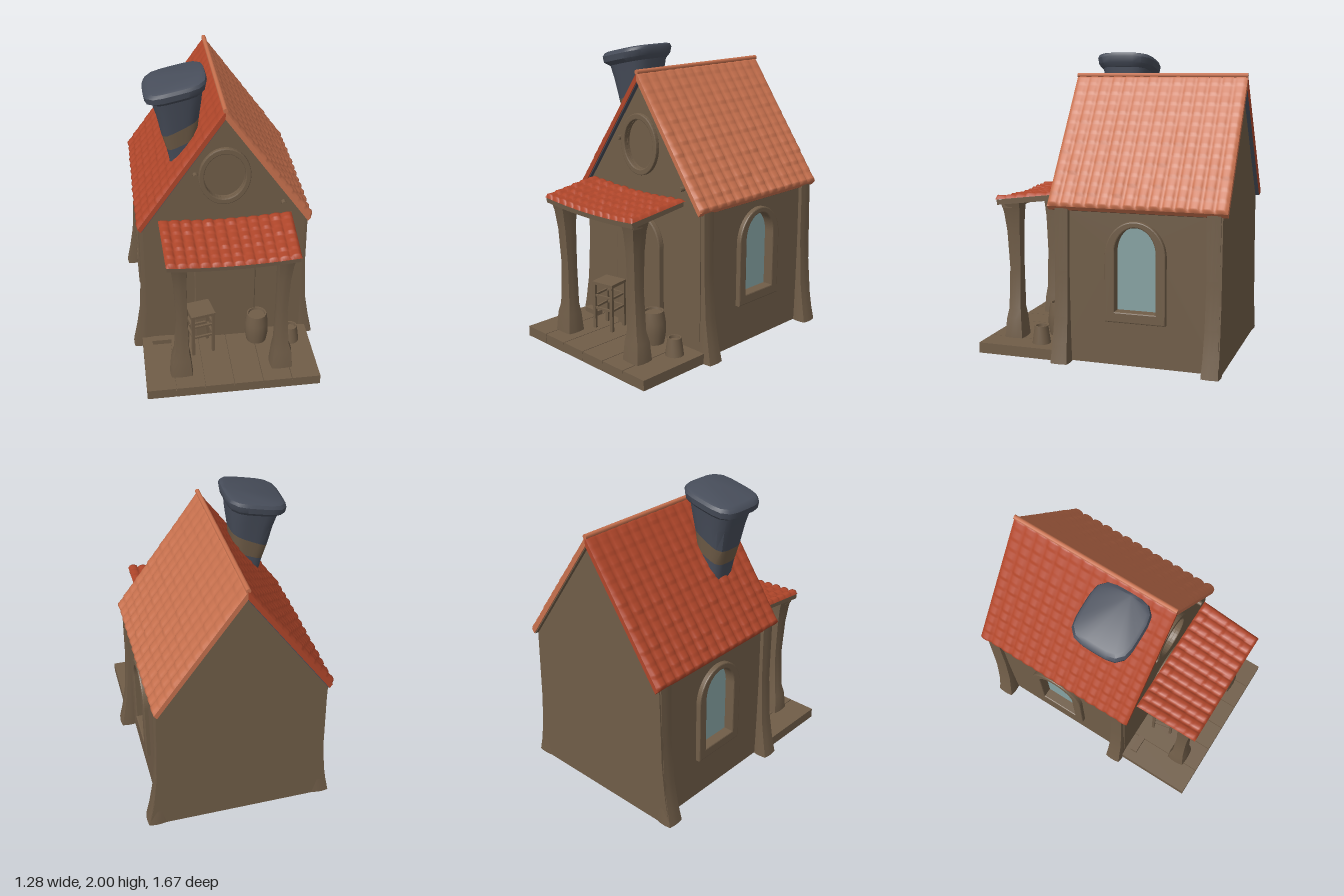
import * as THREE from 'three';
import { toCreasedNormals } from 'three/addons/utils/BufferGeometryUtils.js';

const mat = (name, color, side = THREE.FrontSide) => {
  const m = new THREE.MeshStandardMaterial({ color, side });
  m.name = name;
  return m;
};

export function createModel() {
  const wood = mat('brown wood', 0x705d48);
  const red = mat('red tile', 0xb0462a);
  const salmon = mat('salmon tile', 0xc8714e);
  const slate = mat('slate', 0x484e5b);
  const glass = mat('window glass', 0x86a2a2);
  const house = new THREE.Group();
  house.name = 'cottage';

  const add = (name, geo, material, parent = house, x = 0, y = 0, z = 0) => {
    const m = new THREE.Mesh(geo, material);
    m.name = name;
    m.position.set(x, y, z);
    parent.add(m);
    return m;
  };
  const group = (name, x = 0, y = 0, z = 0, ry = 0, parent = house) => {
    const g = new THREE.Group();
    g.name = name;
    g.position.set(x, y, z);
    g.rotation.y = ry;
    parent.add(g);
    return g;
  };
  const box = (w, h, d) => new THREE.BoxGeometry(w, h, d);
  const poly = (pts) => new THREE.Shape(pts.map(([x, y]) => new THREE.Vector2(x, y)));
  const extrude = (shape, depth, bevel = 0) => new THREE.ExtrudeGeometry(shape, {
    depth, curveSegments: 20, bevelEnabled: bevel > 0, bevelSize: bevel, bevelOffset: -bevel,
    bevelThickness: bevel, bevelSegments: 2,
  });
  const arch = (w, y0, spring, top) => {
    const s = new THREE.Shape();
    s.moveTo(-w, y0).lineTo(w, y0).lineTo(w, spring);
    s.absellipse(0, spring, w, top - spring, 0, Math.PI, false, 0);
    return s;
  };
  const oval = (rx, ry, cy) => new THREE.Shape().absellipse(0, cy, rx, ry, 0, Math.PI * 2, false, 0);
  const cut = (shape, ...holes) => { shape.holes.push(...holes); return shape; };

  // Rounded-square loft; each section is [cx, y, cz, halfX, halfZ, slope in x]
  const loft = (sections, n = 12, power = 7) => {
    const pos = [], idx = [];
    sections.forEach(([cx, y, cz, hx, hz, tilt = 0]) => {
      for (let i = 0; i < n; i++) {
        const a = ((i + 0.5) / n) * Math.PI * 2, c = Math.cos(a), s = Math.sin(a);
        const r = (Math.abs(c) ** power + Math.abs(s) ** power) ** (-1 / power);
        pos.push(cx + c * r * hx, y + c * r * hx * tilt, cz + s * r * hz);
      }
    });
    for (let k = 0; k < sections.length - 1; k++) for (let i = 0; i < n; i++) {
      const a = k * n + i, b = k * n + (i + 1) % n;
      idx.push(a, a + n, b, b, a + n, b + n);
    }
    const last = (sections.length - 1) * n;
    for (let i = 1; i < n - 1; i++) idx.push(0, i, i + 1, last, last + i + 1, last + i);
    const g = new THREE.BufferGeometry();
    g.setAttribute('position', new THREE.Float32BufferAttribute(pos, 3));
    g.setIndex(idx);
    return toCreasedNormals(g, 0.6);
  };

  // Sheet of rounded, overlapping tiles raised along a normal
  const hash = (a, b) => { const s = Math.sin(a * 12.99 + b * 78.23) * 4375.85; return s - Math.floor(s); };
  const tileSheet = (place, normal, cols, rows, height) => {
    const nu = cols * 6, nv = rows * 6, pos = [], idx = [];
    for (let j = 0; j <= nv; j++) for (let i = 0; i <= nu; i++) {
      const u = i / nu, v = j / nv, row = Math.min(Math.floor(j / 6), rows - 1);
      const edge = i === 0 || j === 0 || i === nu || j === nv;
      const across = Math.sqrt(Math.abs(Math.sin(Math.PI * cols * u)));
      const along = (j % 6) / 5;
      const jitter = 0.75 + 0.25 * hash(Math.floor(i / 6), row);
      const h = edge ? 0 : height(v) * jitter * (0.25 + 0.45 * across + 0.3 * across * along);
      const p = place(u, v).addScaledVector(normal, h);
      pos.push(p.x, p.y, p.z);
    }
    for (let j = 0; j < nv; j++) for (let i = 0; i < nu; i++) {
      const a = j * (nu + 1) + i, b = a + nu + 1;
      idx.push(a, a + 1, b, a + 1, b + 1, b);
    }
    const g = new THREE.BufferGeometry();
    g.setAttribute('position', new THREE.Float32BufferAttribute(pos, 3));
    g.setIndex(idx);
    g.computeVertexNormals();
    return g;
  };

  // Front gable wall with door and round window openings
  const gable = poly([[-0.54, 0], [0.54, 0], [0.54, 1.02], [0, 1.78], [-0.54, 1.02]]);
  add('frontWall', extrude(cut(gable, arch(0.14, 0.05, 0.68, 0.84), oval(0.135, 0.165, 1.37)), 0.05), wood, house, 0, 0, 0.25);
  add('door', extrude(arch(0.15, 0.05, 0.68, 0.85), 0.02), wood, house, 0, 0, 0.24);
  add('doorFrame', extrude(cut(arch(0.21, 0.06, 0.7, 0.91), arch(0.14, 0.06, 0.68, 0.84)), 0.03, 0.008), wood, house, 0, 0, 0.305);
  add('roundWindowPane', extrude(oval(0.14, 0.17, 1.37), 0.01), wood, house, 0, 0, 0.27);
  add('roundWindowFrame', extrude(cut(oval(0.17, 0.205, 1.37), oval(0.135, 0.165, 1.37)), 0.02, 0.006), wood, house, 0, 0, 0.302);
  for (const [x, y] of [[-0.19, 1.39], [0.39, 1.14]])
    add('wallPeg', new THREE.CylinderGeometry(0.016, 0.016, 0.04, 10).rotateX(Math.PI / 2), wood, house, x, y, 0.315);

  // Back wall flares toward the ground
  add('backWall', extrude(poly([[-0.63, 0], [0.63, 0], [0.595, 0.2], [0.57, 0.45], [0.555, 1.01],
    [0, 1.79], [-0.555, 1.01], [-0.57, 0.45], [-0.595, 0.2]]), 0.04), wood, house, 0, 0, -0.805);
  add('floor', box(1.08, 0.03, 1.08), wood, house, 0, 0.018, -0.25);

  for (const s of [1, -1]) {
    // Side wall with arched window
    const side = group(s > 0 ? 'leftSide' : 'rightSide', s * 0.49, 0, -0.25, s * Math.PI / 2);
    const wall = poly([[-0.54, 0.005], [0.54, 0.005], [0.54, 1.03], [-0.54, 1.03]]);
    add('sideWall', extrude(cut(wall, arch(0.135, 0.36, 0.74, 0.905)), 0.05), wood, side);
    add('sideWindowGlass', extrude(arch(0.14, 0.355, 0.74, 0.91), 0.008), glass, side, 0, 0, 0.005);
    add('sideWindowFrame', extrude(cut(arch(0.2, 0.29, 0.72, 0.945), arch(0.135, 0.36, 0.74, 0.905)), 0.03, 0.008), wood, side, 0, 0, 0.045);

    // Flared corner posts
    for (const z of [0.245, -0.75])
      add('cornerPost', loft([[s * 0.58, 0, z, 0.062, 0.062], [s * 0.562, 0.12, z, 0.055, 0.055],
        [s * 0.545, 0.3, z, 0.042, 0.05], [s * 0.532, 0.6, z, 0.036, 0.046], [s * 0.53, 1.02, z, 0.036, 0.05]]), wood);

    // Porch posts
    add('porchPost', loft([[s * 0.34, 0.06, 0.665, 0.078, 0.07], [s * 0.34, 0.2, 0.665, 0.066, 0.058],
      [s * 0.335, 0.27, 0.665, 0.05, 0.046], [s * 0.33, 0.55, 0.665, 0.038, 0.042],
      [s * 0.335, 0.8, 0.67, 0.042, 0.05], [s * 0.34, 0.93, 0.675, 0.05, 0.062], [s * 0.345, 1.0, 0.68, 0.062, 0.075]]), wood);

    // Main roof slope: slab, lining and tiles
    const tile = s > 0 ? salmon : red;
    const slab = poly([[0, 1.84], [s * 0.575, 1.02], [s * 0.555, 0.995], [0, 1.785]]);
    add('roofSlab', extrude(slab, 1.175), tile, house, 0, 0, -0.838);
    const lining = poly([[0, 1.786], [s * 0.555, 0.996], [s * 0.55, 0.992], [0, 1.777]]);
    add('roofLining', extrude(lining, 1.16), s > 0 ? wood : slate, house, 0, 0, -0.83);
    const place = (u, v) => new THREE.Vector3(s * 0.575 * v, 1.84 - 0.82 * v, s * (-0.25 + (u - 0.5) * 1.176) + (s < 0 ? -0.5 : 0));
    add('roofTiles', tileSheet(place, new THREE.Vector3(s * 0.82, 0.575, 0).normalize(), 14, 13,
      (v) => 0.012 + 0.014 * v), tile);
  }
  add('ridgeCap', new THREE.CylinderGeometry(0.016, 0.016, 1.176, 8).rotateX(Math.PI / 2), salmon, house, 0, 1.844, -0.25);

  // Porch deck planks
  const planks = 6, pw = 1.17 / planks;
  add('deckBase', box(1.16, 0.05, 0.53), wood, house, 0, 0.027, 0.57);
  for (let i = 0; i < planks; i++)
    add('deckPlank', box(pw - 0.005, 0.07, 0.55), wood, house, (i - (planks - 1) / 2) * pw, 0.036, 0.562);

  // Sagging porch roof
  const porch = group('porchRoof', 0, 1.05, 0.33);
  porch.rotation.x = 0.12;
  const sag = (x) => 0.022 * (x / 0.43) ** 2;
  const xs = Array.from({ length: 13 }, (_, i) => -0.42 + i * 0.07);
  const profile = [...xs.map((x) => [x, sag(x) - 0.035]), ...xs.map((x) => [x, sag(x)]).reverse()];
  add('porchSlab', extrude(poly(profile), 0.44), wood, porch);
  add('porchTiles', tileSheet((u, v) => {
    const x = (0.5 - u) * (0.88 - 0.03 * v);
    return new THREE.Vector3(x, sag(x) + 0.002, v * 0.447);
  }, new THREE.Vector3(0, 1, 0), 12, 6, () => 0.032), red, porch);
  add('porchBeam', box(0.8, 0.045, 0.07), wood, house, 0, 0.985, 0.7);

  // Leaning chimney that widens into a tilted cap
  const stack = (name, sections, m) => add(name, loft(sections, 24, 4), m);
  const low = [-0.253, 1.53, 0.06, 0.1, 0.105, 0.45], high = [-0.26, 1.65, 0.06, 0.122, 0.122, 0.5];
  stack('chimneyBase', [[-0.25, 1.3, 0.06, 0.08, 0.09], [-0.25, 1.42, 0.06, 0.085, 0.095, 0.2], low], slate);
  stack('chimneyBand', [low, high], wood);
  stack('chimneyNeck', [high, [-0.268, 1.78, 0.06, 0.145, 0.145, 0.3], [-0.28, 1.88, 0.06, 0.165, 0.165, 0.22]], slate);
  stack('chimneyCap', [[-0.28, 1.865, 0.06, 0.165, 0.165, 0.22], [-0.29, 1.89, 0.06, 0.193, 0.193, 0.22],
    [-0.29, 1.93, 0.06, 0.2, 0.2, 0.22], [-0.287, 1.952, 0.06, 0.19, 0.19, 0.22], [-0.285, 1.96, 0.06, 0.17, 0.17, 0.22]], slate);

  // Tall stool
  const stool = group('stool', -0.185, 0.07, 0.44, 0.2);
  add('stoolSeat', box(0.17, 0.02, 0.16), wood, stool, 0, 0.33, 0);
  for (const a of [-1, 1]) {
    for (const b of [-1, 1]) add('stoolLeg', box(0.02, 0.33, 0.02), wood, stool, a * 0.072, 0.165, b * 0.068);
    for (const y of [0.15, 0.24]) {
      add('stoolRung', box(0.14, 0.014, 0.014), wood, stool, 0, y, a * 0.068);
      add('stoolRung', box(0.014, 0.014, 0.13), wood, stool, a * 0.072, y, 0);
    }
  }

  // Barrel, bucket and log on the deck
  const barrel = [[0, 0], [0.07, 0], [0.082, 0.08], [0.08, 0.15], [0.068, 0.225], [0.058, 0.225], [0.055, 0.21], [0, 0.21]];
  const bucket = [[0, 0], [0.062, 0], [0.045, 0.12], [0.036, 0.12], [0.034, 0.1], [0, 0.1]];
  const turned = (pts) => toCreasedNormals(new THREE.LatheGeometry(pts.map((p) => new THREE.Vector2(...p)), 16), 0.6);
  add('barrel', turned(barrel), wood, house, 0.215, 0.07, 0.4);
  add('bucket', turned(bucket), wood, house, 0.45, 0.07, 0.44);
  add('log', box(0.13, 0.035, 0.05), wood, house, -0.45, 0.087, 0.36);
  return house;
}
